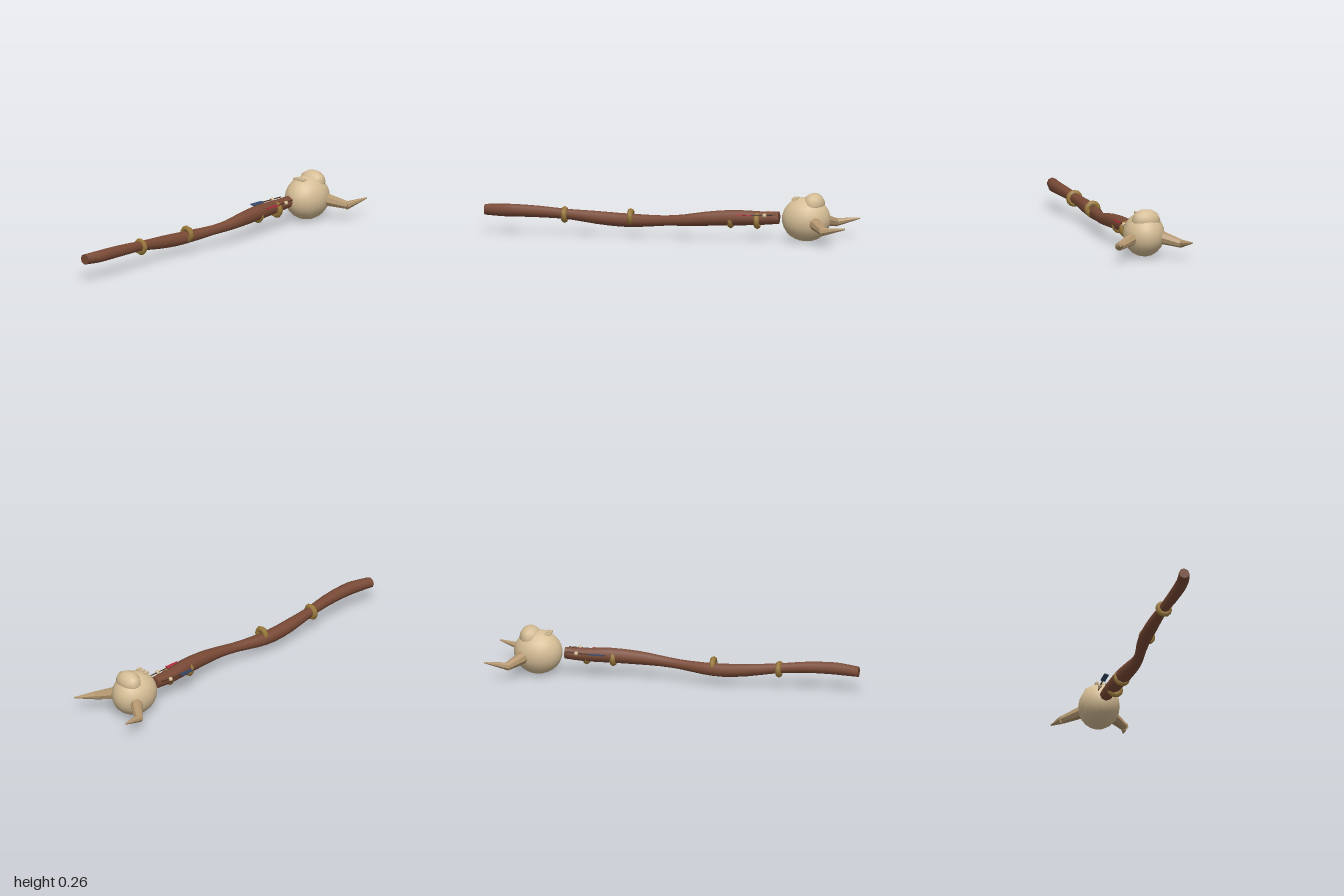
import * as THREE from 'three';

const material = (name, color, extra = {}) => {
  const m = new THREE.MeshStandardMaterial({ color, ...extra });
  m.name = name;
  return m;
};

export function createModel() {
  const group = new THREE.Group();
  group.name = 'skullStaff';

  const wood = material('wood', 0x7a4a36);
  const gold = material('gold', 0x9c7a3c);
  const bone = material('bone', 0xd6be96);
  const horn = material('horn', 0xb3966f, { flatShading: true });
  const cord = material('cord', 0x4a3020);
  const red = material('red cloth', 0xb32a3c);
  const blue = material('blue cloth', 0x344868);

  const add = (name, geometry, mat, x = 0, y = 0, z = 0) => {
    const mesh = new THREE.Mesh(geometry, mat);
    mesh.name = name;
    mesh.position.set(x, y, z);
    group.add(mesh);
    return mesh;
  };

  // Capped tapering rod between two points
  const rod = (name, a, b, r1, r2, sides, mat) => {
    const p = new THREE.Vector3(...a), q = new THREE.Vector3(...b);
    const dir = q.clone().sub(p);
    const mesh = add(name, new THREE.CylinderGeometry(r2, r1, dir.length(), sides), mat);
    mesh.position.copy(p).add(q).multiplyScalar(0.5);
    mesh.quaternion.setFromUnitVectors(new THREE.Vector3(0, 1, 0), dir.normalize());
  };

  // Gnarled shaft: x, y, z, radius along its length
  const stations = [
    [0.0, 0.125, -0.6, 0.033], [0.005, 0.12, -0.5, 0.037], [0.022, 0.121, -0.36, 0.042],
    [0.038, 0.112, -0.2, 0.038], [0.042, 0.102, -0.09, 0.031], [0.03, 0.094, 0.02, 0.028],
    [0.011, 0.087, 0.15, 0.034], [0.002, 0.086, 0.26, 0.037], [0.006, 0.096, 0.4, 0.035],
    [0.018, 0.11, 0.54, 0.028], [0.036, 0.122, 0.69, 0.031], [0.043, 0.126, 0.83, 0.034],
    [0.04, 0.125, 0.9, 0.034], [0.022, 0.123, 1.0, 0.029],
  ];
  const path = new THREE.CatmullRomCurve3(stations.map(s => new THREE.Vector3(s[0], s[1], s[2])));
  const radii = new THREE.CatmullRomCurve3(stations.map(s => new THREE.Vector3(s[3], 0, s[2])));
  const shaft = new THREE.CylinderGeometry(1, 1, 1, 8, (stations.length - 1) * 2);
  shaft.rotateX(Math.PI / 2);
  const pos = shaft.attributes.position;
  for (let i = 0; i < pos.count; i++) {
    const t = THREE.MathUtils.clamp(pos.getZ(i) + 0.5, 0, 1);
    const c = path.getPoint(t), r = radii.getPoint(t).x;
    pos.setXYZ(i, c.x + pos.getX(i) * r, c.y + pos.getY(i) * r, c.z);
  }
  shaft.computeVertexNormals();
  add('shaft', shaft, wood);

  // Gold bands
  for (const z of [0.565, 0.205, -0.34, -0.485]) {
    add('band', new THREE.TorusGeometry(0.03, 0.016, 6, 12), gold, 0.02, 0.108, z);
  }

  // Skull with its pole along the shaft
  const skull = add('skull', new THREE.SphereGeometry(1, 20, 14).rotateX(Math.PI / 2), bone, 0, 0.122, -0.748);
  skull.scale.set(0.11, 0.12, 0.131);
  const brow = add('muzzle', new THREE.SphereGeometry(1, 10, 8).rotateX(Math.PI / 2), bone, 0, 0.205, -0.79);
  brow.scale.set(0.079, 0.06, 0.058);

  // Teeth
  for (const x of [-0.027, 0, 0.027]) {
    add('tooth', new THREE.BoxGeometry(0.014, 0.012, 0.032), bone, x, 0.23, -0.69);
  }

  for (const side of [-1, 1]) {
    // Bent horn in two tapering pieces
    const bend = [side * 0.172, 0.083, -0.878];
    rod('hornBase', [side * 0.075, 0.112, -0.808], bend, 0.036, 0.022, 8, horn);
    rod('hornTip', [side * 0.17, 0.082, -0.868], [side * 0.199, 0.105, -1], 0.023, 0.004, 8, horn);

    // Hanging charm: cord, bead and cloth strip
    rod('charmCord', [side * 0.044, 0.145, -0.59], [side * 0.054, 0.14, -0.45], 0.003, 0.003, 6, cord);
    add('charmBead', new THREE.SphereGeometry(0.012, 8, 6), bone, side * 0.051, 0.141, -0.53);
    const strip = add('charmStrip', new THREE.BoxGeometry(0.026, 0.005, 0.085), side < 0 ? blue : red,
      side * 0.053, 0.14, -0.418);
    strip.rotation.z = side * 0.2;
  }

  return group;
}
